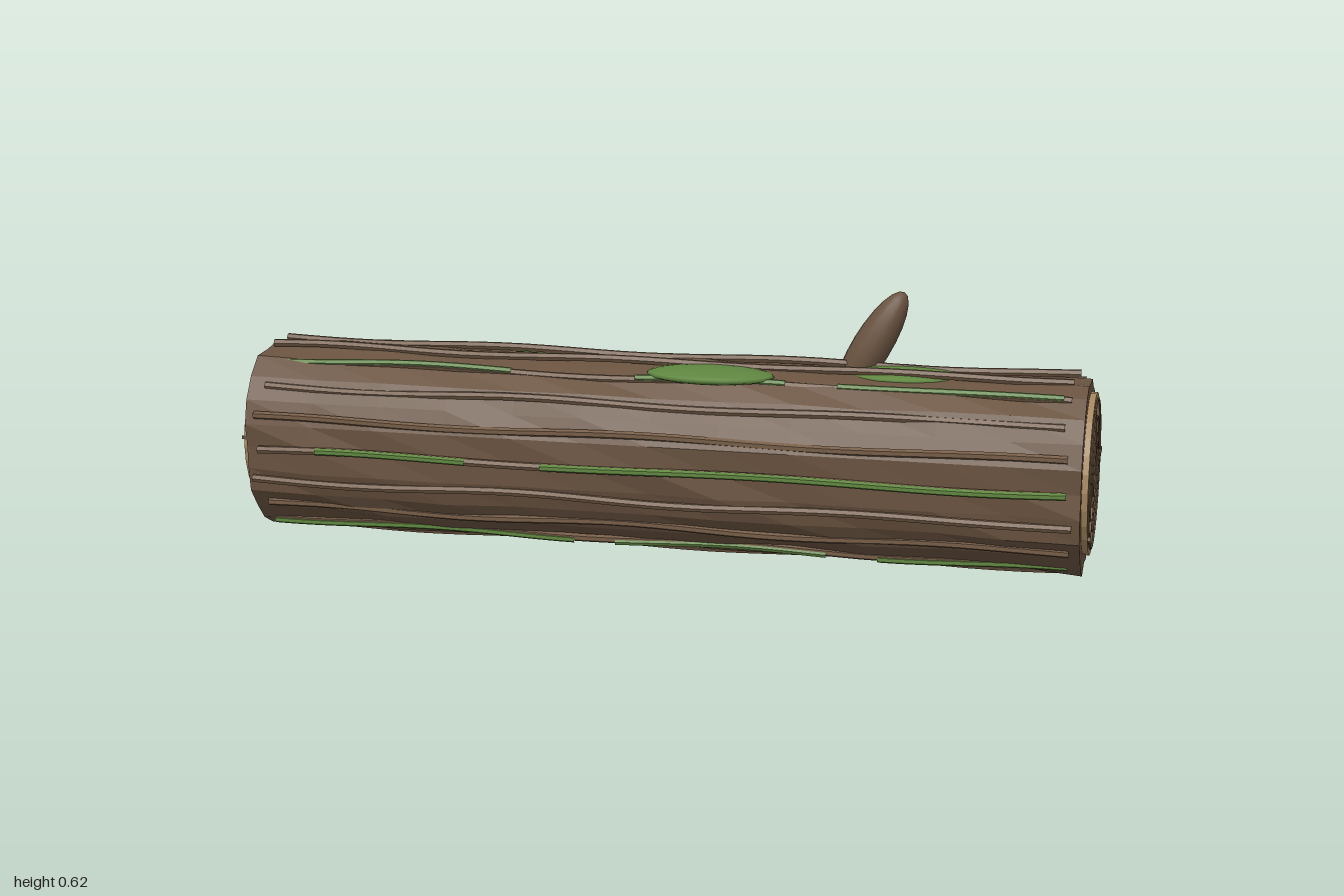
import * as THREE from 'three';

const CY = 0.24; // height of the log's axis
const mat = (color, flatShading = true) => new THREE.MeshStandardMaterial({ color, flatShading });
const bark = mat(0x6a5340), barkSmooth = mat(0x6a5340, false), ridgeMat = mat(0x755c46);
const wood = mat(0xa5875f), ringMat = mat(0x5f4a36), moss = mat(0x5f8540), mossSmooth = mat(0x5f8540, false);

function mesh(name, geometry, material, parent) {
  const m = new THREE.Mesh(geometry, material);
  m.name = name;
  parent.add(m);
  return m;
}

// repeatable value in -1..1 for a pair of integers
function jitter(i, j) {
  const s = Math.sin(i * 127.1 + j * 311.7) * 43758.5453;
  return (s - Math.floor(s)) * 2 - 1;
}

// rough trunk: cylinder along x whose rim vertices are pushed in and out
function trunkGeometry() {
  const sides = 24, rows = 12, length = 1.96;
  const g = new THREE.CylinderGeometry(0.22, 0.22, length, sides, rows);
  g.rotateZ(-Math.PI / 2);
  const p = g.attributes.position;
  for (let k = 0; k < p.count; k++) {
    const x = p.getX(k), y = p.getY(k), z = p.getZ(k);
    if (Math.hypot(y, z) < 0.05) continue;
    const a = Math.atan2(y, z);
    const i = (Math.round(a / (2 * Math.PI) * sides) + sides) % sides;
    const j = Math.round((x / length + 0.5) * rows);
    const atEnd = j === 0 || j === rows;
    const r = 0.219 + 0.006 * jitter(i, 50) + (atEnd ? 0.014 : 0.006) * jitter(i, j);
    p.setXYZ(k, x, r * Math.sin(a), r * Math.cos(a));
  }
  return g;
}

// wavy strip running along the trunk at angle a
function strip(a, x0, x1, lift, radius, seed) {
  const pts = [];
  for (let i = 0; i <= 16; i++) {
    const x = x0 + (x1 - x0) * i / 16;
    const r = 0.225 + lift + 0.004 * Math.sin(x * 9 + seed * 2.3);
    const b = a + 0.018 * Math.sin(x * 7 + seed * 1.7);
    pts.push(new THREE.Vector3(x, r * Math.sin(b), r * Math.cos(b)));
  }
  return new THREE.TubeGeometry(new THREE.CatmullRomCurve3(pts), 32, radius, 6);
}

// sawn face with growth rings and cracks, facing +x
function cutEnd() {
  const end = new THREE.Group();
  const face = mesh('cutFace', new THREE.CylinderGeometry(0.186, 0.186, 0.02, 28), wood, end);
  face.rotation.z = -Math.PI / 2;
  face.position.x = 0.984;
  for (const r of [0.052, 0.093, 0.13, 0.17]) {
    const ring = mesh('growthRing', new THREE.TorusGeometry(r, 0.0035, 6, 40), ringMat, end);
    ring.rotation.y = Math.PI / 2;
    ring.position.x = 0.995;
  }
  // each crack: start z, y and finish z, y relative to the centre
  for (const [z0, y0, z1, y1] of [
    [0.021, 0.06, 0.078, 0.167], [-0.065, 0, -0.185, 0.017], [0.051, -0.042, 0.133, -0.125]
  ]) {
    const crack = mesh('crack', new THREE.BoxGeometry(0.01, 0.008, Math.hypot(z1 - z0, y1 - y0)), ringMat, end);
    crack.position.set(0.995, (y0 + y1) / 2, (z0 + z1) / 2);
    crack.rotation.x = -Math.atan2(y1 - y0, z1 - z0);
  }
  return end;
}

export function createModel() {
  const model = new THREE.Group();
  model.name = 'fallenLog';
  const log = new THREE.Group();
  log.name = 'log';
  log.position.y = CY;
  model.add(log);

  mesh('trunk', trunkGeometry(), bark, log);

  // bark ridges every 20 degrees
  for (let i = 0; i < 18; i++) {
    const a = i * Math.PI / 9;
    mesh('barkRidge', strip(a, -0.95 + 0.02 * jitter(i, 3), 0.95 + 0.015 * jitter(i, 4), -0.003, 0.0095, i), ridgeMat, log);
  }

  // moss strips on every third ridge, broken into lengths
  const runs = [
    [[-0.8, -0.43], [-0.25, 0.95]], [[-0.95, -0.35], [-0.05, 0.3], [0.42, 0.93]],
    [[-0.95, 0.9]], [[-0.95, -0.4], [-0.1, 0.9]],
    [[-0.9, -0.1], [0.1, 0.95]], [[-0.95, -0.2], [-0.1, 0.4], [0.52, 0.95]]
  ];
  runs.forEach((list, i) => {
    for (const [x0, x1] of list) {
      mesh('mossStrip', strip(i * Math.PI / 3, x0, x1, 0.002, 0.0085, i * 3), moss, log);
    }
  });

  // flat moss cushions on top: centre x, y, z and half sizes
  for (const [x, y, z, sx, sy, sz] of [
    [0.12, 0.445, 0.085, 0.15, 0.018, 0.082],
    [0.55, 0.446, -0.015, 0.14, 0.016, 0.088],
    [-0.36, 0.441, -0.085, 0.125, 0.018, 0.045]
  ]) {
    const pad = mesh('mossPatch', new THREE.SphereGeometry(1, 20, 12), mossSmooth, model);
    pad.position.set(x, y, z);
    pad.scale.set(sx, sy, sz);
  }

  // broken branch stub leaning toward the left end
  const stub = mesh('branchStub', new THREE.SphereGeometry(1, 16, 12), barkSmooth, model);
  stub.scale.set(0.045, 0.15, 0.045);
  stub.position.set(0.47, 0.498, -0.06);
  stub.rotation.set(-0.05, 0, -0.52);

  // matching cut faces at both ends
  for (const turn of [0, Math.PI]) {
    const end = cutEnd();
    end.name = turn ? 'rightEnd' : 'leftEnd';
    end.rotation.y = turn;
    log.add(end);
  }
  return model;
}
